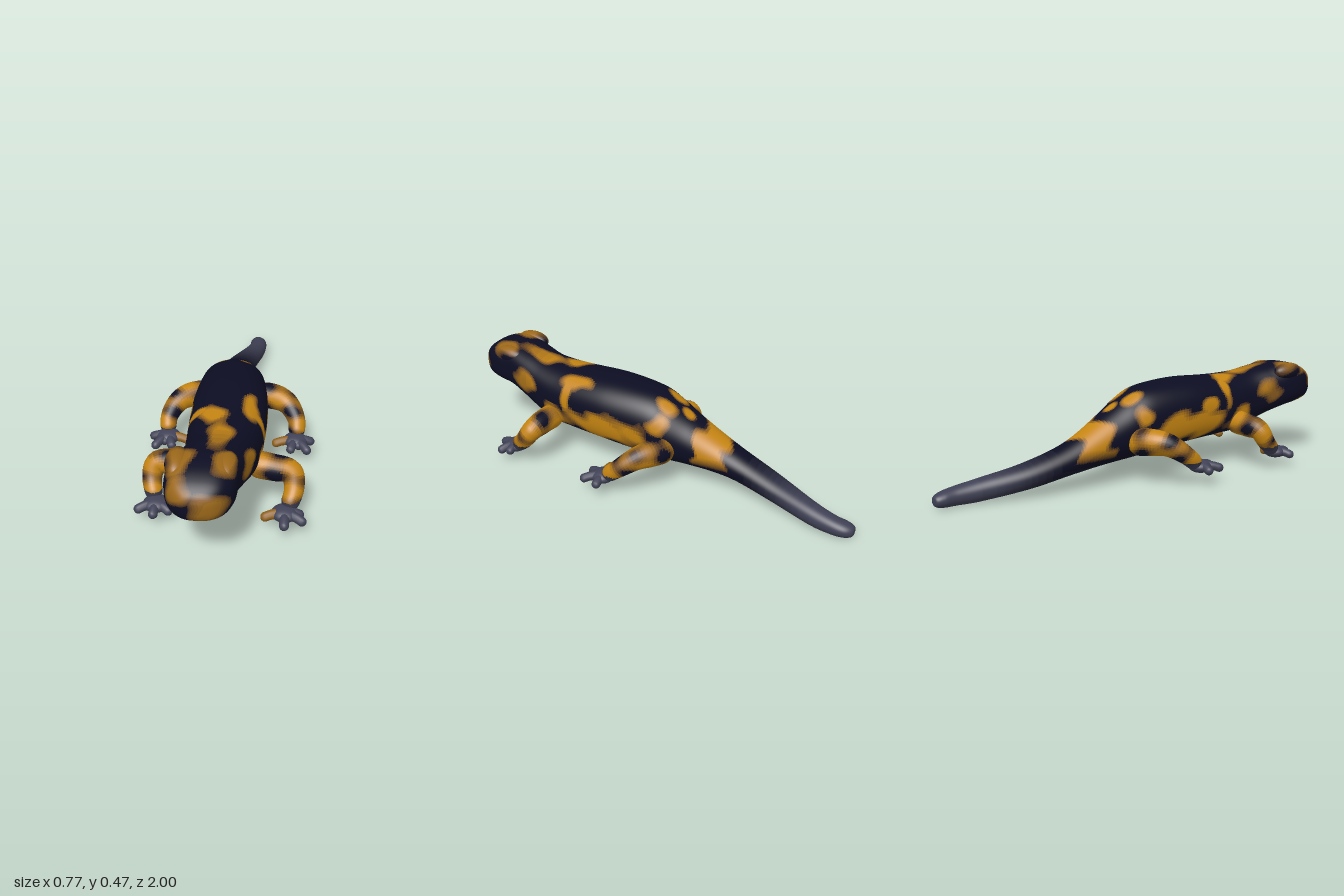
import * as THREE from 'three';

const V = (x, y, z) => new THREE.Vector3(x, y, z);
const clamp = THREE.MathUtils.clamp, smooth = THREE.MathUtils.smoothstep;

// Skin colours: navy, then steps from navy to orange, then steps from navy to slate
const NAVY = new THREE.Color(0x0c0d22), ORANGE = new THREE.Color(0xc48412), SLATE = new THREE.Color(0x414256);
const STEPS = 12;
const skin = [NAVY];
for (const target of [ORANGE, SLATE])
  for (let i = 1; i <= STEPS; i++) skin.push(NAVY.clone().lerp(target, i / STEPS));
const materials = skin.map(color => new THREE.MeshStandardMaterial({ color }));
const orange = a => Math.round(clamp(a, 0, 1) * STEPS);
const slate = a => { const n = Math.round(clamp(a, 0, 1) * STEPS); return n && n + STEPS; };

// Closed skin from rings: point(u, angle), u running from one end to the other
function skinGeometry(nu, nv, point) {
  const pos = [], idx = [];
  for (let i = 0; i <= nu; i++)
    for (let j = 0; j < nv; j++) pos.push(...point(i / nu, j / nv * Math.PI * 2).toArray());
  for (let i = 0; i < nu; i++)
    for (let j = 0; j < nv; j++) {
      const a = i * nv + j, b = i * nv + (j + 1) % nv;
      idx.push(a, b, a + nv, b, b + nv, a + nv);
    }
  const g = new THREE.BufferGeometry();
  g.setAttribute('position', new THREE.Float32BufferAttribute(pos, 3));
  g.setIndex(idx);
  g.computeVertexNormals();
  return g;
}

// Sorts the faces of a skin by colour; normals stay shared so it remains smooth
function paint(name, geometry, rule) {
  const group = new THREE.Group();
  group.name = name;
  const p = geometry.attributes.position, index = geometry.index.array, buckets = {};
  for (let i = 0; i < index.length; i += 3) {
    const c = V(0, 0, 0);
    for (let k = 0; k < 3; k++) c.add(V().fromBufferAttribute(p, index[i + k]));
    (buckets[rule(c.divideScalar(3))] ??= []).push(index[i], index[i + 1], index[i + 2]);
  }
  for (const key in buckets) {
    const g = new THREE.BufferGeometry();
    g.setAttribute('position', p);
    g.setAttribute('normal', geometry.attributes.normal);
    g.setIndex(buckets[key]);
    const mesh = new THREE.Mesh(g, materials[key]);
    mesh.name = name + 'Skin';
    group.add(mesh);
  }
  return group;
}

// Round-ended limb along a curve; radii are spread evenly along it
function limbGeometry(points, radii, nu = 48, nv = 28) {
  const curve = new THREE.CatmullRomCurve3(points), len = curve.getLength();
  const frames = curve.computeFrenetFrames(nu);
  return skinGeometry(nu, nv, (u, a) => {
    const t = (1 - Math.cos(u * Math.PI)) / 2, f = Math.round(t * nu);
    const s = t * (radii.length - 1), k = Math.min(Math.floor(s), radii.length - 2);
    let r = THREE.MathUtils.lerp(radii[k], radii[k + 1], s - k);
    const cap = r / len, e = Math.max(0, (cap - Math.min(t, 1 - t)) / cap);
    r *= Math.sqrt(Math.max(0, 1 - e * e));
    return curve.getPointAt(t)
      .addScaledVector(frames.normals[f], r * Math.cos(a))
      .addScaledVector(frames.binormals[f], r * Math.sin(a));
  });
}

// Body stations: z, centre x, half width, bottom, top
const STATIONS = [
  [-1, .08, 0, .035, .04], [-.993, .08, .026, .014, .058], [-.96, .083, .042, .004, .072], [-.9, .083, .046, .002, .084],
  [-.8, .064, .055, .006, .104], [-.6, .012, .073, .036, .15], [-.4, -.014, .085, .072, .217],
  [-.2, -.006, .116, .091, .324], [-.1, 0, .137, .1, .383], [0, 0, .152, .115, .422], [.2, 0, .167, .134, .439],
  [.4, -.004, .162, .145, .432], [.5, -.008, .155, .151, .431], [.6, -.016, .145, .178, .437],
  [.7, -.036, .139, .213, .455], [.8, -.06, .137, .245, .47], [.88, -.066, .135, .26, .462], [.94, -.067, .114, .273, .44],
  [.98, -.068, .076, .294, .41], [.995, -.069, .04, .318, .382], [1, -.07, 0, .348, .352]];

// Orange blotches: centre, then reach along each axis
const SPOTS = [
  [-.01, .46, .63, .04, .08, .12], [-.06, .44, .46, .045, .06, .06], [.1, .4, .38, .03, .08, .07],
  [.03, .46, .84, .045, .05, .06], [-.15, .45, .83, .045, .05, .07], [-.02, .345, .98, .06, .055, .07],
  [-.14, .4, .95, .04, .05, .05], [-.13, .28, .9, .05, .025, .05], [0, .33, -.17, .025, .05, .03],
  [-.16, .32, .29, .05, .03, .05]];
// Blotches found on both flanks
const PAIRED_SPOTS = [
  [.053, .4, -.1, .03, .07, .045], [.17, .235, .19, .07, .06, .19], [.13, .31, -.07, .05, .04, .04],
  [.16, .22, .5, .05, .06, .06], [.13, .37, .41, .05, .09, .022], [.13, .345, .68, .05, .045, .07]];

function bodyColour(p) {
  const w = .17 * Math.sin(p.x * 47 + p.z * 31) + .16 * Math.sin(p.y * 61 - p.z * 43 + 1);
  const strength = 1 - .4 * smooth(p.z, .5, .75);
  const blotch = (px, [x, y, z, rx, ry, rz]) => strength * Math.min(1,
    (1.4 - Math.hypot((px - x) / rx, (p.y - y) / ry, (p.z - z) / rz) + w) * 1.5);
  // ring over the root of the tail
  const ring = 1 - Math.abs(p.z + .31) / .085 + w;
  const a = Math.max(Math.min(ring * 3, (p.y - .13) * 18),
    ...SPOTS.map(s => blotch(p.x, s)), ...PAIRED_SPOTS.map(s => blotch(Math.abs(p.x), s)));
  if (a > .05) return orange(a);
  return slate(Math.max(smooth(-p.z, .42, .85) * .9, p.z < -.2 ? (.12 - p.y) * 3 : 0));
}

const legColour = p => {
  if (p.y < .115) return slate((.14 - p.y) * 20);
  const n = Math.sin(Math.abs(p.x) * 38 + p.z * 17) + Math.sin(p.y * 52 - p.z * 36 + p.x * 9);
  return orange(.55 + n * .45);
};

// One leg with palm and toes; toe tips are [x, z], the innermost toe first and brown
function makeLeg(name, path, radii, palm, tips) {
  const leg = new THREE.Group();
  leg.name = name;
  leg.add(paint('limb', limbGeometry(path, radii), legColour));
  const foot = new THREE.Mesh(new THREE.SphereGeometry(1, 24, 16), materials[2 * STEPS]);
  foot.name = 'palm';
  foot.position.copy(palm);
  foot.scale.set(.056, .03, .052);
  leg.add(foot);
  tips.forEach(([x, z], i) => {
    const tip = V(x, palm.y - .015, z), mid = palm.clone().lerp(tip, .55);
    mid.y += .008;
    const toe = new THREE.Mesh(limbGeometry([palm, mid, tip], [.026, .022, .02, .021], 16, 12),
      materials[i === 0 ? orange(.5) : 2 * STEPS]);
    toe.name = 'toe';
    leg.add(toe);
  });
  return leg;
}

export function createModel() {
  const model = new THREE.Group();
  model.name = 'salamander';

  // Head, trunk and tail in one skin, the trunk flatter underneath
  const low = new THREE.CatmullRomCurve3(STATIONS.map(s => V(s[1], s[3], s[0])), false, 'catmullrom', .5);
  const high = new THREE.CatmullRomCurve3(STATIONS.map(s => V(s[2], s[4], s[0])), false, 'catmullrom', .5);
  const body = skinGeometry(300, 100, (u, a) => {
    const l = low.getPoint(u), h = high.getPoint(u);
    const trunk = smooth(l.z, -.3, .1), under = Math.sin(a) < 0 ? .5 * trunk * (1 - smooth(l.z, .5, .8)) : 0;
    const e = 2 / (2 + .3 * trunk + .5 * smooth(l.z, .6, .85) + under);
    const bend = v => Math.sign(v) * Math.abs(v) ** e;
    return V(l.x + Math.max(0, h.x) * bend(Math.cos(a)),
      (l.y + h.y) / 2 + (h.y - l.y) / 2 * bend(Math.sin(a)), l.z);
  });
  model.add(paint('body', body, bodyColour));

  // Eye bulges
  for (const [name, x, y] of [['leftEye', .028, .42], ['rightEye', -.158, .43]]) {
    const g = new THREE.SphereGeometry(1, 48, 32).scale(.045, .043, .085).translate(x, y, .81);
    model.add(paint(name, g, bodyColour));
  }

  // Front legs
  const frontRadii = [.055, .058, .055, .046, .04, .036];
  model.add(makeLeg('leftFrontLeg',
    [V(.09, .215, .49), V(.2, .208, .51), V(.275, .195, .52), V(.288, .14, .56), V(.262, .08, .625)],
    frontRadii, V(.252, .073, .638), [[.155, .662], [.25, .73], [.338, .688], [.33, .635]]));
  model.add(makeLeg('rightFrontLeg',
    [V(-.09, .21, .485), V(-.21, .205, .49), V(-.29, .195, .49), V(-.308, .14, .52), V(-.288, .08, .59)],
    frontRadii, V(-.282, .073, .608), [[-.207, .59], [-.213, .657], [-.288, .69], [-.368, .648]]));

  // Hind legs
  for (const [name, s] of [['leftHindLeg', 1], ['rightHindLeg', -1]])
    model.add(makeLeg(name,
      [V(.07 * s, .18, -.1), V(.17 * s, .2, -.085), V(.25 * s, .195, -.035), V(.298 * s, .145, .035), V(.298 * s, .09, .1)],
      [.06, .064, .058, .048, .04, .036], V(.295 * s, .085, .115),
      [[.188 * s, .135], [.268 * s, .2], [.315 * s, .17], [.358 * s, .2], [.382 * s, .108]]));
  return model;
}
